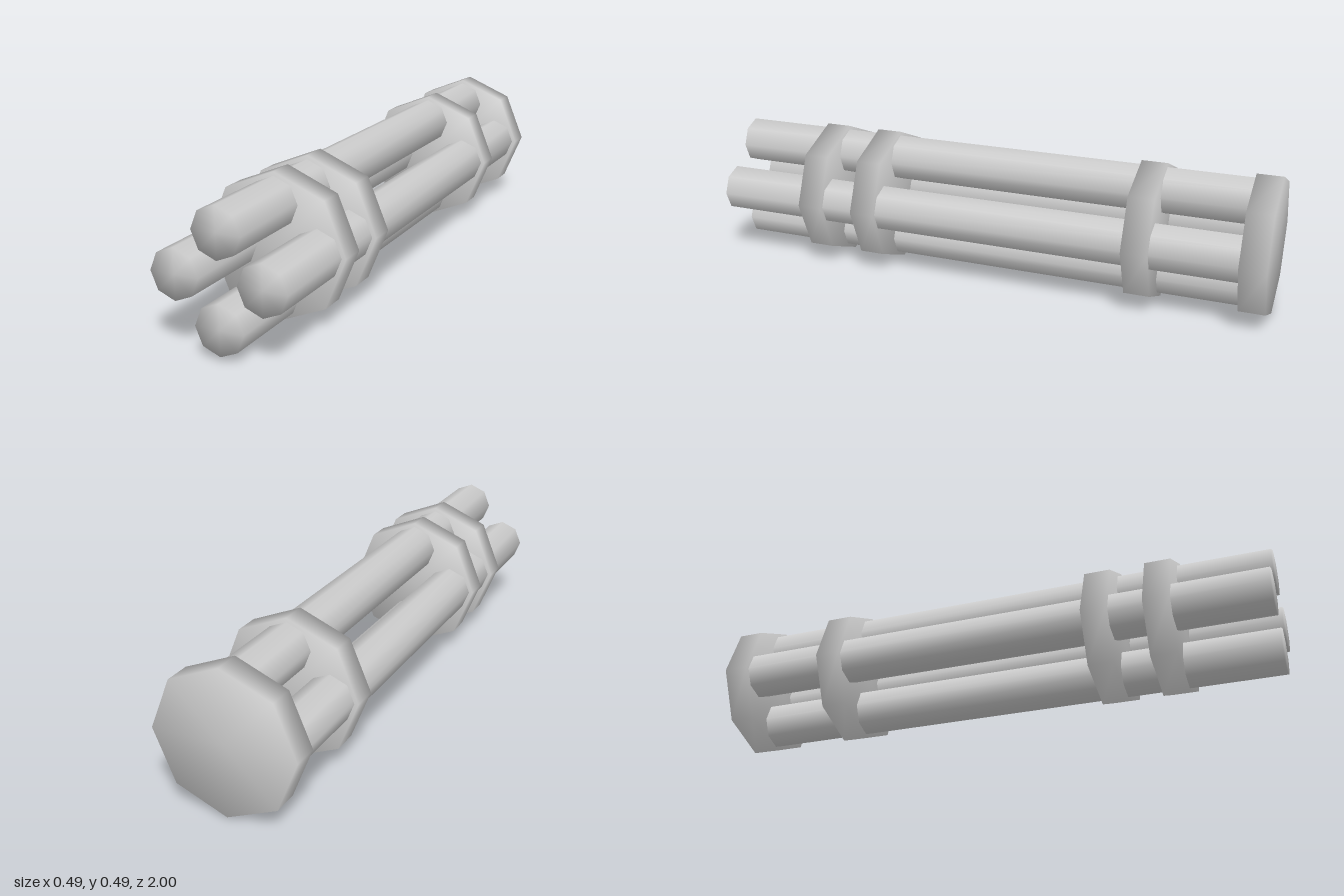
import * as THREE from 'three';
import { mergeVertices } from 'three/addons/utils/BufferGeometryUtils.js';

const material = new THREE.MeshStandardMaterial({ color: 0xcccccc });
const CENTER_Y = 0.246;

// Eight-sided prism along z with shared vertices, so the shading rolls over the rims
function octagonPrism(radius, zBack, zFront, closedBack) {
  const profile = [
    new THREE.Vector2(radius, zBack),
    new THREE.Vector2(radius, zFront),
    new THREE.Vector2(0, zFront),
  ];
  if (closedBack) profile.unshift(new THREE.Vector2(0, zBack));
  let geometry = new THREE.LatheGeometry(profile, 8);
  geometry.deleteAttribute('uv');
  geometry.deleteAttribute('normal');
  geometry = mergeVertices(geometry);
  geometry.rotateX(Math.PI / 2);
  geometry.computeVertexNormals();
  return geometry;
}

export function createModel() {
  const model = new THREE.Group();
  model.name = 'barrelCluster';

  // Four barrels around the axis, their back ends sunk in the rear plate
  const barrelGeometry = octagonPrism(0.083, -0.95, 1, false);
  const barrels = [
    ['topBarrel', 0, 1],
    ['bottomBarrel', 0, -1],
    ['leftBarrel', 1, 0],
    ['rightBarrel', -1, 0],
  ];
  for (const [name, dx, dy] of barrels) {
    const barrel = new THREE.Mesh(barrelGeometry, material);
    barrel.name = name;
    barrel.position.set(dx * 0.148, CENTER_Y + dy * 0.148, 0);
    model.add(barrel);
  }

  // Solid plates that clamp the barrels together
  const plateGeometry = octagonPrism(0.245, -0.045, 0.045, true);
  const plates = [
    ['rearPlate', -0.955],
    ['rearClamp', -0.572],
    ['middleClamp', 0.423],
    ['frontClamp', 0.634],
  ];
  for (const [name, z] of plates) {
    const plate = new THREE.Mesh(plateGeometry, material);
    plate.name = name;
    plate.position.set(0, CENTER_Y, z);
    model.add(plate);
  }

  return model;
}
